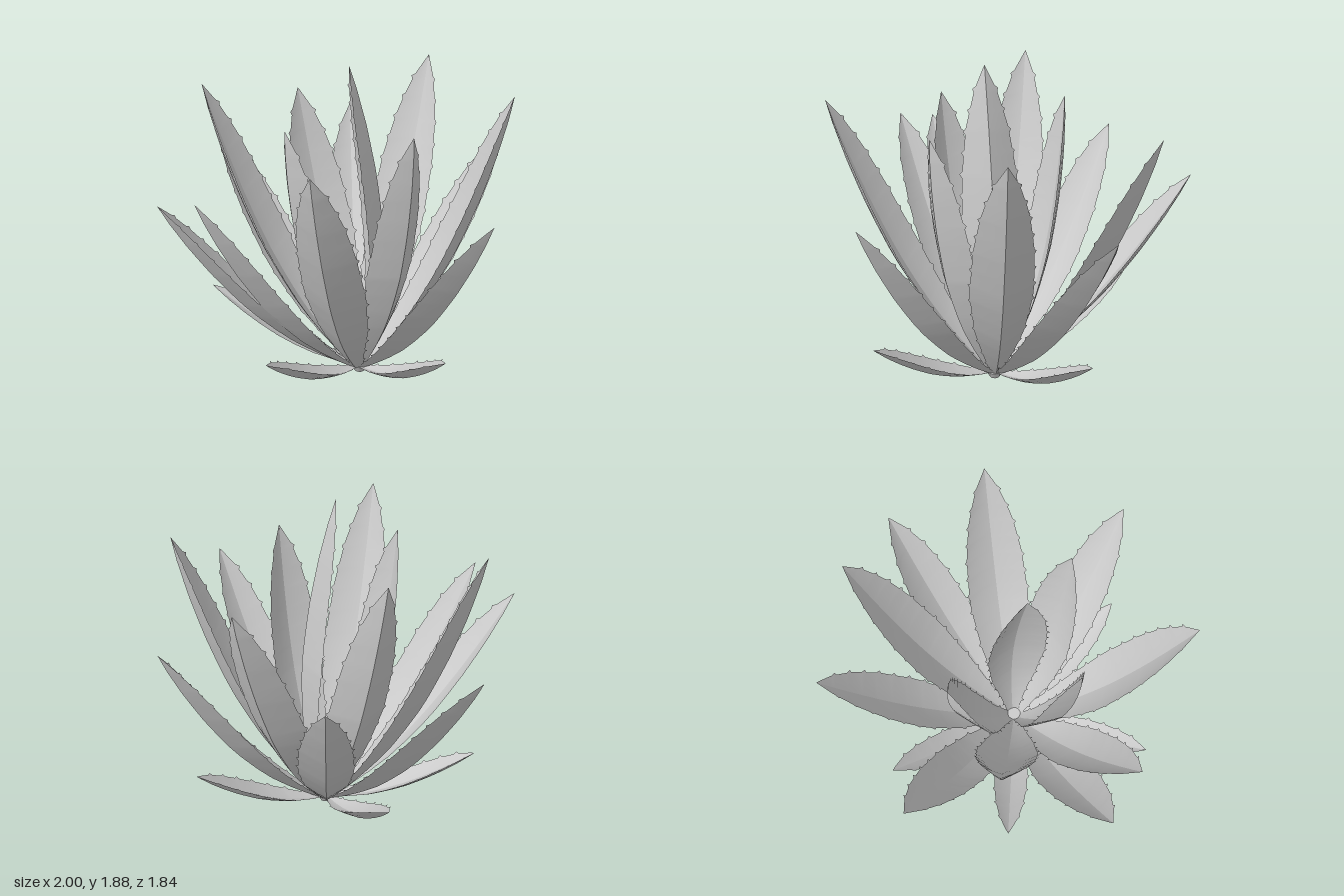
import * as THREE from 'three';
import { toCreasedNormals } from 'three/addons/utils/BufferGeometryUtils.js';

const UP = new THREE.Vector3(0, 1, 0);
const BASE = new THREE.Vector3(0.07, 0.035, 0.01);

// Leaf width along its length, as [t, width]
const WIDTHS = [[0, 0.07], [0.1, 0.14], [0.25, 0.26], [0.45, 0.33], [0.65, 0.3], [0.8, 0.23], [0.92, 0.12], [1, 0.002]];

// Cross-section in half-widths: [across, towards the rosette's middle]; keel outside, hollow inside
const SECTION = [[-1, 0.22], [-0.5, -0.1], [0, -0.38], [0.5, -0.1], [1, 0.22], [0.5, -0.03], [0, -0.15], [-0.5, -0.03]];

// Ring positions within one tooth: the last ring is the spike
const TOOTH_STEPS = [0, 0.7, 0.86];

function widthAt(t) {
  let i = 1;
  while (i < WIDTHS.length - 1 && WIDTHS[i][0] < t) i++;
  const [t0, w0] = WIDTHS[i - 1], [t1, w1] = WIDTHS[i];
  return THREE.MathUtils.lerp(w0, w1, (t - t0) / (t1 - t0));
}

// One keeled, toothed leaf swept along a gently bent curve
function leafGeometry(tip, widthScale, teeth, facing) {
  const out = (facing ? new THREE.Vector3(...facing) : tip.clone().sub(BASE).setY(0)).normalize();
  const start = BASE.clone().addScaledVector(out, 0.03);
  const chord = tip.clone().sub(start);
  const side = new THREE.Vector3().crossVectors(UP, out).normalize();
  const inward = new THREE.Vector3().crossVectors(chord, side).normalize();
  const bend = (t, sag) => start.clone().lerp(tip, t).addScaledVector(inward, -sag * chord.length());
  const curve = new THREE.CubicBezierCurve3(start, bend(0.36, 0.09), bend(0.7, 0.025), tip);

  const positions = [], index = [];
  const rings = teeth * 3, n = SECTION.length;
  for (let i = 0; i <= rings; i++) {
    const t = (Math.floor(i / 3) + TOOTH_STEPS[i % 3]) / teeth;
    const p = curve.getPoint(t);
    const normal = new THREE.Vector3().crossVectors(curve.getTangent(t), side).normalize();
    const half = widthAt(t) * widthScale / 2;
    const tooth = i % 3 === 2 && t < 0.95 ? 0.012 : 0;
    for (const [a, b] of SECTION) {
      const spike = Math.abs(a) === 1 ? tooth : 0;
      const v = p.clone().addScaledVector(side, a * (half + spike)).addScaledVector(normal, b * half + 0.6 * spike);
      positions.push(v.x, Math.max(v.y, 0), v.z);
    }
  }
  for (let i = 0; i < rings; i++) {
    for (let j = 0; j < n; j++) {
      const a = i * n + j, b = i * n + (j + 1) % n;
      index.push(a, b, b + n, a, b + n, a + n);
    }
  }
  const g = new THREE.BufferGeometry();
  g.setAttribute('position', new THREE.Float32BufferAttribute(positions, 3));
  g.setIndex(index);
  return toCreasedNormals(g, 0.4);
}

export function createModel() {
  const model = new THREE.Group();
  model.name = 'agavePlant';
  const material = new THREE.MeshStandardMaterial({ color: 0xcccccc, side: THREE.DoubleSide });

  // Whorls of leaves: tip position, then the way the keel faces where it is turned
  const whorls = [
    { name: 'lowLeaf', width: 0.6, teeth: 8, leaves: [
      [[0.79, 0.46, 0.38]], [[-0.02, 0.46, 0.85]], [[-0.75, 0.46, 0.26]], [[-0.62, 0.46, -0.49]], [[0.44, 0.46, -0.74]]] },
    { name: 'outerLeaf', width: 0.93, teeth: 12, leaves: [
      [[-0.49, 1.23, -0.91]], [[0.53, 1.26, -0.89]], [[-1, 1.22, -0.22]],
      [[1, 1.28, 0.32]], [[-0.69, 1.21, 0.81]], [[-0.41, 1.31, 0.87]]] },
    { name: 'middleLeaf', width: 1.04, teeth: 14, leaves: [
      [[0.03, 1.63, -0.92]], [[0.78, 1.68, -0.41]], [[-0.78, 1.68, 0.23]], [[0.3, 1.63, 0.92]]] },
    { name: 'innerLeaf', width: 0.97, teeth: 13, leaves: [
      [[-0.42, 1.59, -0.18], [-0.72, 0, -0.7]], [[-0.13, 1.61, 0.44]], [[0.48, 1.6, 0.18]]] },
    { name: 'centreLeaf', width: 1, teeth: 15, leaves: [[[0.05, 1.88, 0.08], [0.82, 0, -0.57]]] },
  ];
  for (const { name, width, teeth, leaves } of whorls) {
    const whorl = new THREE.Group();
    whorl.name = name + 'Whorl';
    for (const [tip, facing] of leaves) {
      const leaf = new THREE.Mesh(leafGeometry(new THREE.Vector3(...tip), width, teeth, facing), material);
      leaf.name = name;
      whorl.add(leaf);
    }
    model.add(whorl);
  }

  // Short stub where the leaves meet
  const stem = new THREE.Mesh(new THREE.CylinderGeometry(0.05, 0.03, 0.04, 9), material);
  stem.name = 'stem';
  stem.position.set(0.08, 0.02, 0.01);
  model.add(stem);
  return model;
}
